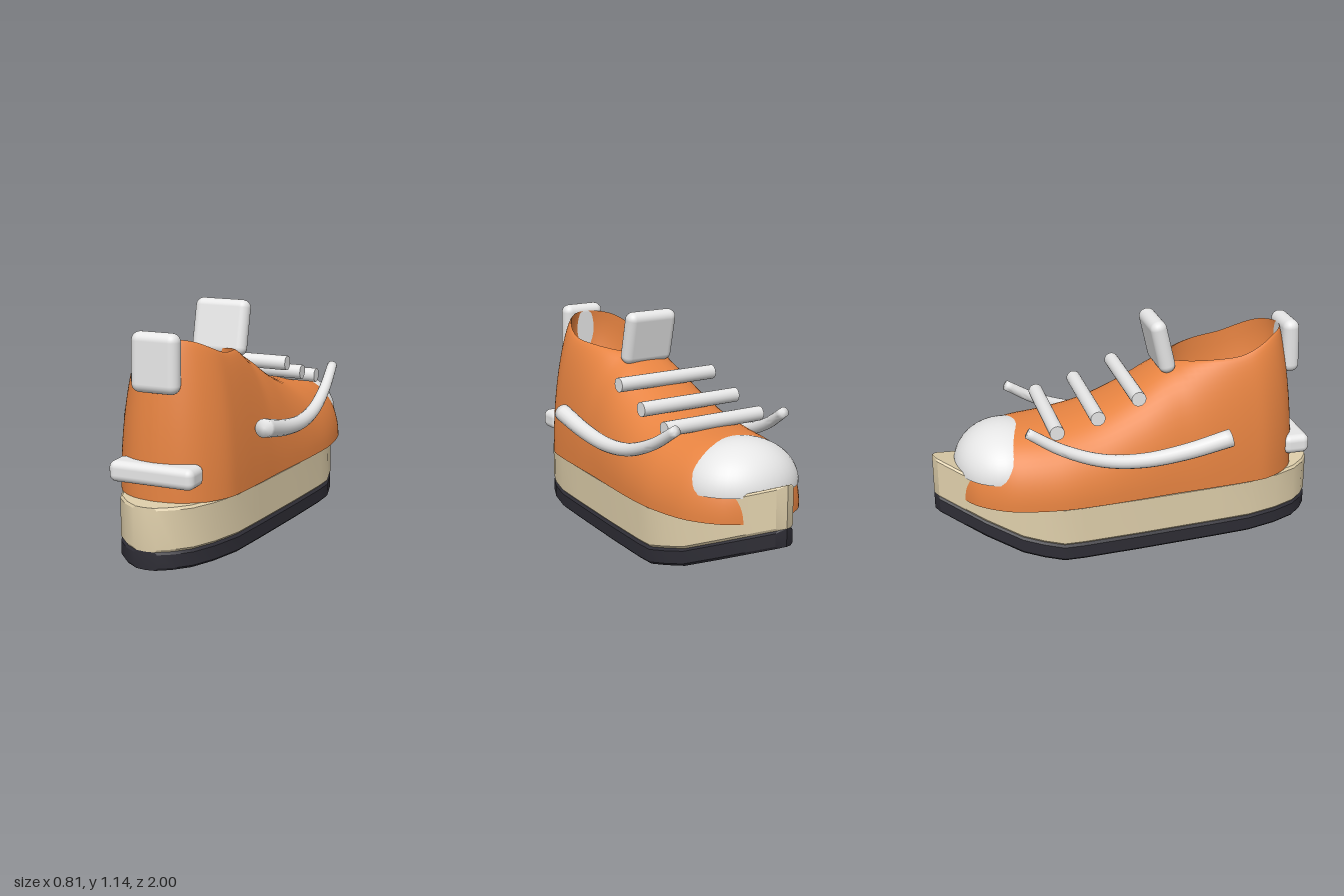
import * as THREE from 'three';
import { toCreasedNormals } from 'three/addons/utils/BufferGeometryUtils.js';
import { RoundedBoxGeometry } from 'three/addons/geometries/RoundedBoxGeometry.js';

const material = (name, color, side = THREE.FrontSide) => {
  const m = new THREE.MeshStandardMaterial({ color, side });
  m.name = name;
  return m;
};

// Skin a list of equal-length cross-sections (counter-clockwise, running toward -z)
function loft(rows, crease) {
  const pos = [];
  const A = new THREE.Vector3(), B = new THREE.Vector3();
  const tri = (a, b, c) => {
    A.subVectors(b, a); B.subVectors(c, a);
    if (A.cross(B).length() > 1e-9) for (const p of [a, b, c]) pos.push(p.x, p.y, p.z);
  };
  for (let i = 0; i < rows.length - 1; i++) {
    for (let j = 0; j < rows[i].length - 1; j++) {
      const a = rows[i][j], b = rows[i][j + 1], c = rows[i + 1][j + 1], d = rows[i + 1][j];
      tri(a, d, b);
      tri(b, d, c);
    }
  }
  const g = new THREE.BufferGeometry();
  g.setAttribute('position', new THREE.Float32BufferAttribute(pos, 3));
  return toCreasedNormals(g, crease);
}

// Smooth interpolation through [z, value] pairs sorted by falling z
function smooth(table, z) {
  const n = table.length;
  let i = 0;
  while (i < n - 2 && z < table[i + 1][0]) i++;
  const slope = k => {
    const a = table[Math.max(k - 1, 0)], b = table[Math.min(k + 1, n - 1)];
    return (b[1] - a[1]) / (b[0] - a[0]);
  };
  const [z0, v0] = table[i], [z1, v1] = table[i + 1];
  const h = z1 - z0, t = THREE.MathUtils.clamp((z - z0) / h, 0, 1), t2 = t * t, t3 = t2 * t;
  return v0 * (2 * t3 - 3 * t2 + 1) + v1 * (3 * t2 - 2 * t3)
    + h * (slope(i) * (t3 - 2 * t2 + t) + slope(i + 1) * (t3 - t2));
}

const mirrorRow = half => [...half, ...half.slice().reverse().map(p => new THREE.Vector3(-p.x, p.y, p.z))];

// Sole slab: faceted plan outline, bent up at the toe
const SOLE = [[1, 0], [0.993, 0.06], [0.95, 0.125], [0.88, 0.19], [0.76, 0.245], [0.6, 0.29], [0.4, 0.31], [0, 0.345],
  [-0.3, 0.366], [-0.4, 0.366], [-0.5, 0.345], [-0.6, 0.305], [-0.77, 0.215], [-0.88, 0.13], [-0.98, 0.05], [-1, 0]];
const toeLift = z => (z > -0.4 ? 0 : z > -0.6 ? (-0.4 - z) * 0.2 : 0.04 + (-0.6 - z) * 0.4);
function slab(y0, y1) {
  const rows = SOLE.map(([z, w]) => {
    const b = Math.min(0.012, w), l = toeLift(z);
    return mirrorRow([[0, y0], [w - b, y0], [w, y0 + b], [w, y1 - b], [w - b, y1], [0, y1]]
      .map(([x, y]) => new THREE.Vector3(x, y + l, z)));
  });
  return loft(rows, 0.5);
}

// Upper: half width and ridge height along the length
const WIDTH = [[0.9, 0], [0.89, 0.08], [0.86, 0.155], [0.8, 0.222], [0.7, 0.282], [0.6, 0.303], [0.4, 0.322], [0.2, 0.337],
  [0, 0.357], [-0.2, 0.375], [-0.4, 0.38], [-0.6, 0.35], [-0.7, 0.31], [-0.8, 0.235], [-0.85, 0.165], [-0.873, 0.1], [-0.88, 0]];
const HEIGHT = [[0.9, 1.045], [0.82, 1.028], [0.7, 0.987], [0.58, 0.953], [0.4, 0.935], [0.25, 0.912], [0.15, 0.872],
  [0, 0.785], [-0.2, 0.695], [-0.4, 0.65], [-0.6, 0.63], [-0.7, 0.6], [-0.8, 0.535], [-0.85, 0.475], [-0.88, 0.41]];
function upperGeometry() {
  const base = 0.295, rows = [], N = 80, M = 16;
  for (let i = 0; i <= N; i++) {
    const z = 0.01 + 0.89 * Math.cos(Math.PI * i / N);
    const w = Math.max(0, smooth(WIDTH, z)), top = smooth(HEIGHT, z);
    const open = Math.sqrt(Math.max(0, 1 - ((z - 0.565) / 0.335) ** 2));
    const rim = Math.min(0.195 * open, w * 0.75), depth = 0.45 * open;
    const power = 0.78 + 0.62 * open;
    const lean = 0.08 * THREE.MathUtils.smoothstep(z, 0.4, 0.9);
    const point = (x, y) => new THREE.Vector3(x, y, z - lean * ((y - base) / 0.75) ** 2);
    const half = [point(0, base)];
    for (let j = 0; j <= M; j++) { // outer wall
      const a = j / M * Math.PI / 2, c = j === M ? 0 : Math.cos(a);
      half.push(point(rim + (w - rim) * c ** power, base + (top - base) * Math.sin(a)));
    }
    for (let j = 1; j <= 10; j++) { // foot opening
      const a = j / 10 * Math.PI / 2;
      half.push(point(j === 10 ? 0 : rim * Math.cos(a), top - depth * Math.sin(a)));
    }
    rows.push(mirrorRow(half));
  }
  return loft(rows, 0.9);
}

// Tapered side stripe with softly shaded closed ends
function stripeGeometry(side) {
  const path = new THREE.CatmullRomCurve3([[0.357, 0.582, 0.46], [0.36, 0.532, 0.22], [0.362, 0.512, 0], [0.355, 0.532, -0.2],
    [0.34, 0.605, -0.4], [0.322, 0.705, -0.565]].map(([x, y, z]) => new THREE.Vector3(side * x, y, z)));
  const rows = [], N = 36, X = new THREE.Vector3(1, 0, 0);
  for (let i = -1; i <= N + 1; i++) {
    const t = THREE.MathUtils.clamp(i / N, 0, 1);
    const r = i < 0 || i > N ? 0 : 0.046 - 0.02 * t;
    const p = path.getPointAt(t), d = path.getTangentAt(t);
    const up = new THREE.Vector3().crossVectors(d, X).normalize();
    if (up.y < 0) up.negate();
    const right = new THREE.Vector3().crossVectors(d, up).normalize();
    if (right.x < 0) right.negate();
    const row = [];
    for (let j = 0; j <= 16; j++) {
      const a = (j % 16) / 16 * Math.PI * 2;
      row.push(p.clone().addScaledVector(right, r * Math.cos(a)).addScaledVector(up, r * Math.sin(a)));
    }
    rows.push(row);
  }
  return loft(rows, 1.7);
}

export function createModel() {
  const model = new THREE.Group();
  model.name = 'shoe';
  const orange = material('orange upper', 0xe68341, THREE.DoubleSide);
  const cream = material('cream midsole', 0xdfcfab);
  const dark = material('dark outsole', 0x2e2d35);
  const white = material('pale trim', 0xe6e6e6, THREE.DoubleSide);
  const add = (name, geometry, mat, x = 0, y = 0, z = 0) => {
    const mesh = new THREE.Mesh(geometry, mat);
    mesh.name = name;
    mesh.position.set(x, y, z);
    model.add(mesh);
    return mesh;
  };

  add('outsole', slab(0, 0.088), dark);
  add('midsole', slab(0.088, 0.298), cream);
  add('upper', upperGeometry(), orange);

  // Toe cap: upper half of an ellipsoid
  const cap = new THREE.SphereGeometry(1, 40, 16, 0, Math.PI * 2, 0, Math.PI / 2);
  cap.scale(0.3, 0.22, 0.26);
  add('toeCap', cap, white, 0, 0.42, -0.632);

  // Laces
  [[0.81, 0], [0.727, -0.207], [0.672, -0.412]].forEach(([y, z], i) => {
    add('lace' + (i + 1), new THREE.CylinderGeometry(0.037, 0.037, 0.575, 20).rotateZ(Math.PI / 2), white, 0, y, z);
  });

  // Side stripes
  add('leftStripe', stripeGeometry(1), white);
  add('rightStripe', stripeGeometry(-1), white);

  // Tongue and heel pieces
  add('tongue', new RoundedBoxGeometry(0.29, 0.28, 0.085, 4, 0.04), white, 0, 1.003, 0.17).rotation.x = -0.23;
  add('heelTab', new RoundedBoxGeometry(0.24, 0.28, 0.088, 4, 0.042), white, 0, 0.94, 0.864).rotation.x = -0.03;
  add('heelBar', new RoundedBoxGeometry(0.435, 0.102, 0.14, 4, 0.035), white, 0, 0.429, 0.88);
  return model;
}
